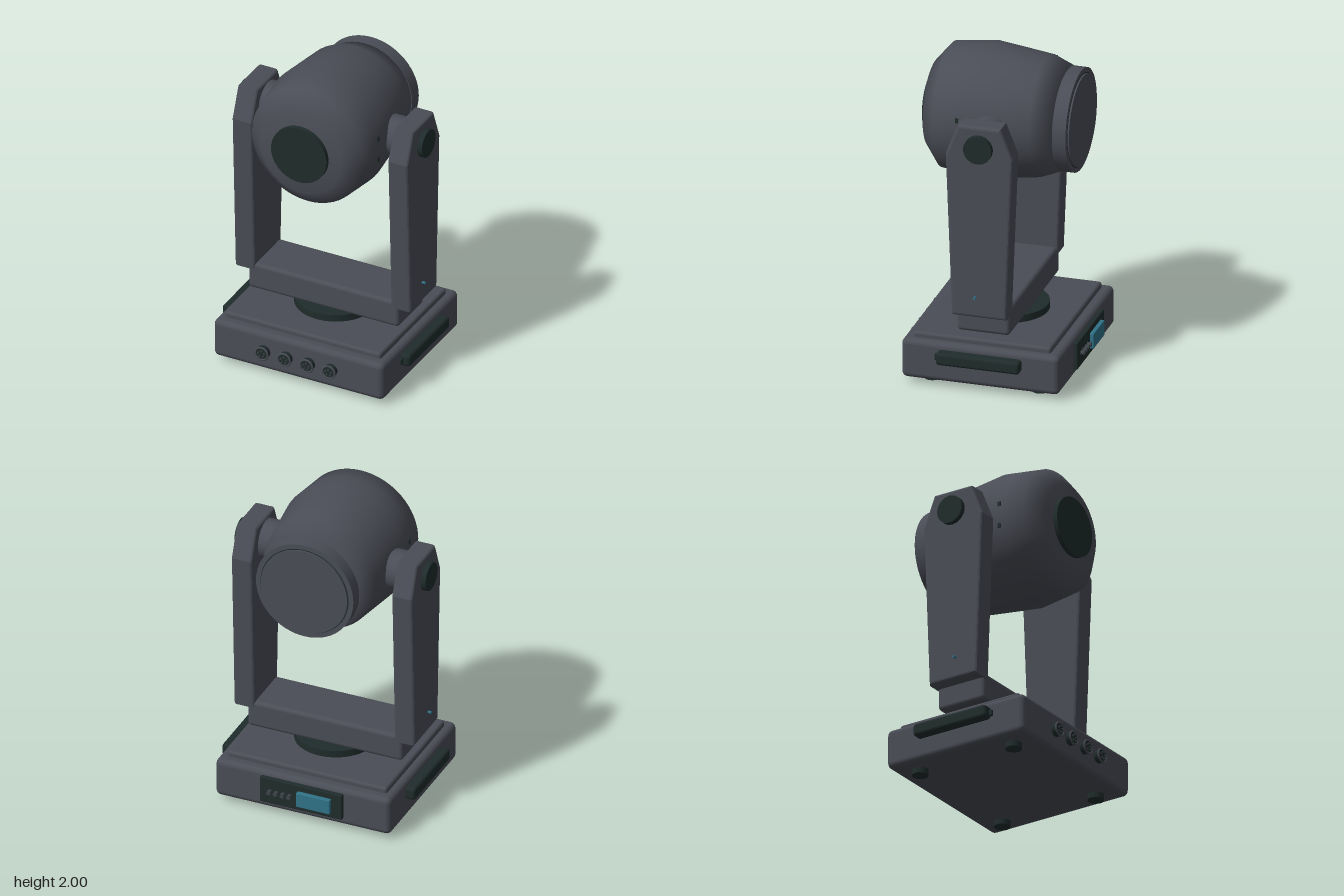
import * as THREE from 'three';
import { RoundedBoxGeometry } from 'three/addons/geometries/RoundedBoxGeometry.js';

const material = (name, color) => Object.assign(new THREE.MeshStandardMaterial({ color }), { name });

export function createModel() {
  const model = new THREE.Group();
  model.name = 'movingHeadLight';
  const grey = material('housing grey', 0x4a4d56);
  const dark = material('dark green black', 0x1f2c2b);
  const teal = material('display teal', 0x307288);
  const pinGrey = material('pin grey', 0x3c4349);

  const add = (name, geometry, mat, x = 0, y = 0, z = 0, parent = model) => {
    const mesh = new THREE.Mesh(geometry, mat);
    mesh.name = name;
    mesh.position.set(x, y, z);
    parent.add(mesh);
    return mesh;
  };
  const rbox = (w, h, d, r) => new RoundedBoxGeometry(w, h, d, 3, r);
  const disc = (r, len, axis = 'y', seg = 32) => {
    const g = new THREE.CylinderGeometry(r, r, len, seg);
    if (axis === 'x') g.rotateZ(Math.PI / 2);
    if (axis === 'z') g.rotateX(Math.PI / 2);
    return g;
  };
  // Profile of [radius, z] pairs turned around the z axis
  const turned = (points) =>
    new THREE.LatheGeometry(points.map(([r, z]) => new THREE.Vector2(r, z)), 64).rotateX(Math.PI / 2);

  // Base with raised top plate and feet
  add('base', rbox(1.14, 0.25, 0.98, 0.035), grey, 0, 0.16, 0);
  add('baseTopPlate', rbox(1.04, 0.07, 0.85, 0.018), grey, 0, 0.285, 0);
  for (const x of [-0.435, 0.435])
    for (const z of [-0.335, 0.335]) add('foot', disc(0.05, 0.05), dark, x, 0.025, z);
  add('turntable', disc(0.25, 0.05), dark, 0, 0.34, 0);

  // Front sockets
  for (const x of [-0.225, -0.075, 0.075, 0.225]) {
    const socket = new THREE.Group();
    socket.name = 'socket';
    socket.position.set(x, 0.163, 0.49);
    model.add(socket);
    add('socketBody', disc(0.041, 0.07, 'z'), dark, 0, 0, 0, socket);
    add('socketRim', new THREE.TorusGeometry(0.041, 0.006, 8, 32), grey, 0, 0, 0.034, socket);
    for (let i = 0; i < 5; i++) {
      const a = Math.PI / 2 + (i * Math.PI * 2) / 5;
      add('socketPin', disc(0.005, 0.012, 'z', 8), pinGrey, 0.02 * Math.cos(a), 0.02 * Math.sin(a), 0.039, socket);
    }
  }

  // Rear control panel
  add('controlPanel', rbox(0.535, 0.17, 0.03, 0.006), dark, 0, 0.17, -0.5);
  add('display', rbox(0.22, 0.098, 0.03, 0.006), teal, -0.09, 0.168, -0.525);
  for (const x of [0.07, 0.113, 0.156, 0.199])
    add('button', disc(0.014, 0.03, 'z', 16), pinGrey, x, 0.17, -0.526);

  // Yoke crossbar
  add('yokeCrossbar', rbox(1.01, 0.175, 0.33, 0.025), grey, 0, 0.4425, 0);

  // Tapered arm outline, extruded across x
  const arm = new THREE.Shape(
    [[-0.17, 0.49], [0.17, 0.49], [0.21, 1.53], [0.133, 1.725], [-0.133, 1.725], [-0.21, 1.53]]
      .map(([z, y]) => new THREE.Vector2(z, y)),
  );
  const armGeometry = new THREE.ExtrudeGeometry(arm, {
    depth: 0.099, bevelThickness: 0.018, bevelSize: 0.018, bevelOffset: -0.018, bevelSegments: 3,
  });
  armGeometry.translate(0, 0, -0.0495).rotateY(Math.PI / 2);

  for (const s of [-1, 1]) {
    add('yokeArm', armGeometry, grey, s * 0.5225, 0, 0);
    add('pivotCap', disc(0.088, 0.05, 'x'), dark, s * 0.597, 1.588, 0);
    add('pivotShaft', disc(0.122, 0.14, 'x'), grey, s * 0.4, 1.588, 0);
    add('armIndicator', disc(0.008, 0.03, 'x', 12), teal, s * 0.597, 0.622, 0.022);
    add('carryHandle', rbox(0.08, 0.08, 0.52, 0.02), dark, s * 0.59, 0.205, 0);
    add('handleStop', rbox(0.03, 0.04, 0.04, 0.006), dark, s * 0.57, 0.2, 0.258);
    for (const y of [1.52, 1.66]) add('headSlot', new THREE.BoxGeometry(0.008, 0.03, 0.02), dark, s * 0.387, y, 0.2);
  }

  // Lamp head
  const head = new THREE.Group();
  head.name = 'head';
  head.position.y = 1.588;
  model.add(head);
  const shell = turned([
    [0.001, -0.375], [0.316, -0.375], [0.37, -0.24], [0.39, -0.08], [0.413, 0.11],
    [0.397, 0.24], [0.382, 0.36], [0.272, 0.45], [0.001, 0.45],
  ]);
  add('headShell', shell, grey, 0, 0, 0, head).scale.x = 0.98;
  add('rearRing', disc(0.317, 0.085, 'z', 64), grey, 0, 0, -0.4125, head);
  add('rearGroove', new THREE.RingGeometry(0.281, 0.287, 64).rotateY(Math.PI), dark, 0, 0, -0.4565, head);
  add('rearPlate', disc(0.281, 0.03, 'z', 64), grey, 0, 0, -0.451, head);
  add('lens', disc(0.186, 0.05, 'z', 64), dark, 0, 0, 0.453, head);

  return model;
}
